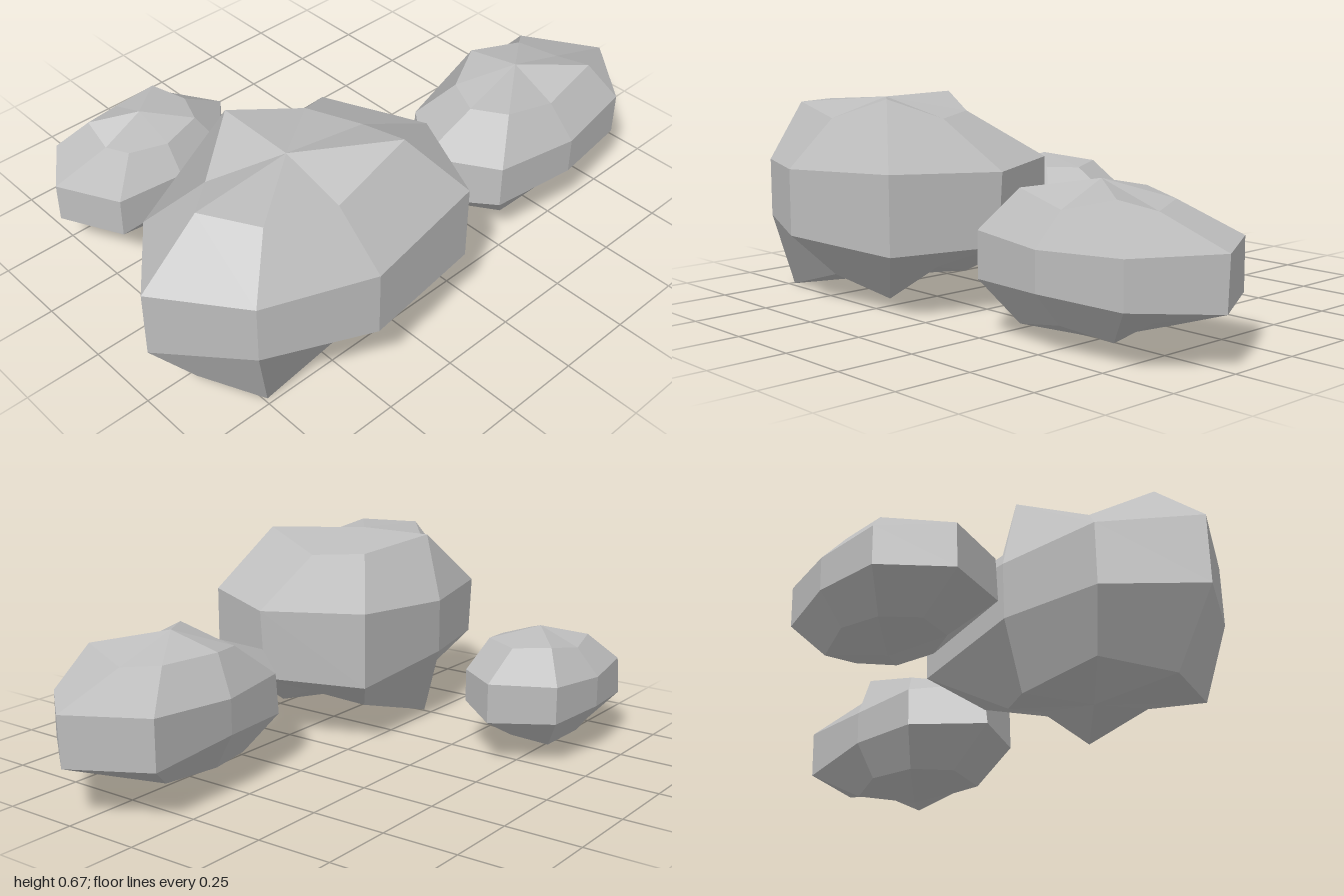
import * as THREE from 'three';

// Each rock is a coarse ball (8 sides, 4 rings) with its own radius per corner.
// Ring radii run from -x through +z, +x and -z, from the top ring to the bottom.
const ROCKS = [
  {
    name: 'largeRock', center: [-0.47, 0.335, 0.28], squash: [1, 0.637, 0.745], poles: [0.495, 0.46],
    rings: [
      [0.56, 0.57, 0.50, 0.65, 0.51, 0.53, 0.62, 0.45],
      [0.557, 0.49, 0.545, 0.64, 0.61, 0.64, 0.465, 0.50],
      [0.557, 0.49, 0.545, 0.64, 0.59, 0.64, 0.465, 0.49],
      [0.63, 0.65, 0.50, 0.59, 0.44, 0.52, 0.62, 0.47],
    ],
  },
  {
    name: 'mediumRock', center: [0.53, 0.247, 0.28], squash: [1, 0.544, 0.745], poles: [0.43, 0.43],
    rings: [
      [0.36, 0.455, 0.365, 0.48, 0.374, 0.41, 0.44, 0.38],
      [0.45, 0.43, 0.367, 0.43, 0.494, 0.485, 0.34, 0.39],
      [0.475, 0.43, 0.367, 0.43, 0.487, 0.485, 0.34, 0.40],
      [0.425, 0.455, 0.38, 0.43, 0.345, 0.42, 0.40, 0.42],
    ],
  },
  {
    name: 'smallRock', center: [-0.47, 0.21, -0.45], squash: [1, 0.6, 0.85], poles: [0.317, 0.317],
    rings: [
      [0.24, 0.295, 0.29, 0.325, 0.31, 0.335, 0.28, 0.31],
      [0.357, 0.35, 0.255, 0.29, 0.347, 0.33, 0.27, 0.32],
      [0.357, 0.355, 0.26, 0.29, 0.347, 0.33, 0.27, 0.33],
      [0.30, 0.31, 0.30, 0.30, 0.30, 0.34, 0.30, 0.32],
    ],
  },
];

function rockGeometry({ squash, poles, rings }) {
  const ball = new THREE.SphereGeometry(1, 8, 5);
  const position = ball.attributes.position;
  const p = new THREE.Vector3();
  const scale = new THREE.Vector3(...squash);
  for (let i = 0; i < position.count; i++) {
    const row = Math.floor(i / 9), side = (i % 9) % 8;
    const radius = row === 0 ? poles[0] : row === 5 ? poles[1] : rings[row - 1][side];
    p.fromBufferAttribute(position, i).multiply(scale).multiplyScalar(radius);
    position.setXYZ(i, p.x, p.y, p.z);
  }

  // flat facets: triangles at the poles, four-sided panels (two triangles) between
  const faceted = ball.toNonIndexed();
  faceted.computeVertexNormals();
  const { position: corners, normal } = faceted.attributes;
  const corner = (i) => new THREE.Vector3().fromBufferAttribute(corners, i);
  for (let i = 8 * 3; i < corners.count - 8 * 3; i += 6) {
    const a = corner(i), b = corner(i + 1), c = corner(i + 4), d = corner(i + 5);
    const n = c.sub(a).cross(d.sub(b)).normalize();
    for (let k = 0; k < 6; k++) normal.setXYZ(i + k, n.x, n.y, n.z);
  }
  return faceted;
}

export function createModel() {
  const group = new THREE.Group();
  group.name = 'rocks';
  const stone = new THREE.MeshStandardMaterial({ color: 0xbcbcbc });
  stone.name = 'grey stone';

  for (const rock of ROCKS) {
    const mesh = new THREE.Mesh(rockGeometry(rock), stone);
    mesh.name = rock.name;
    mesh.position.set(...rock.center);
    group.add(mesh);
  }
  return group;
}
